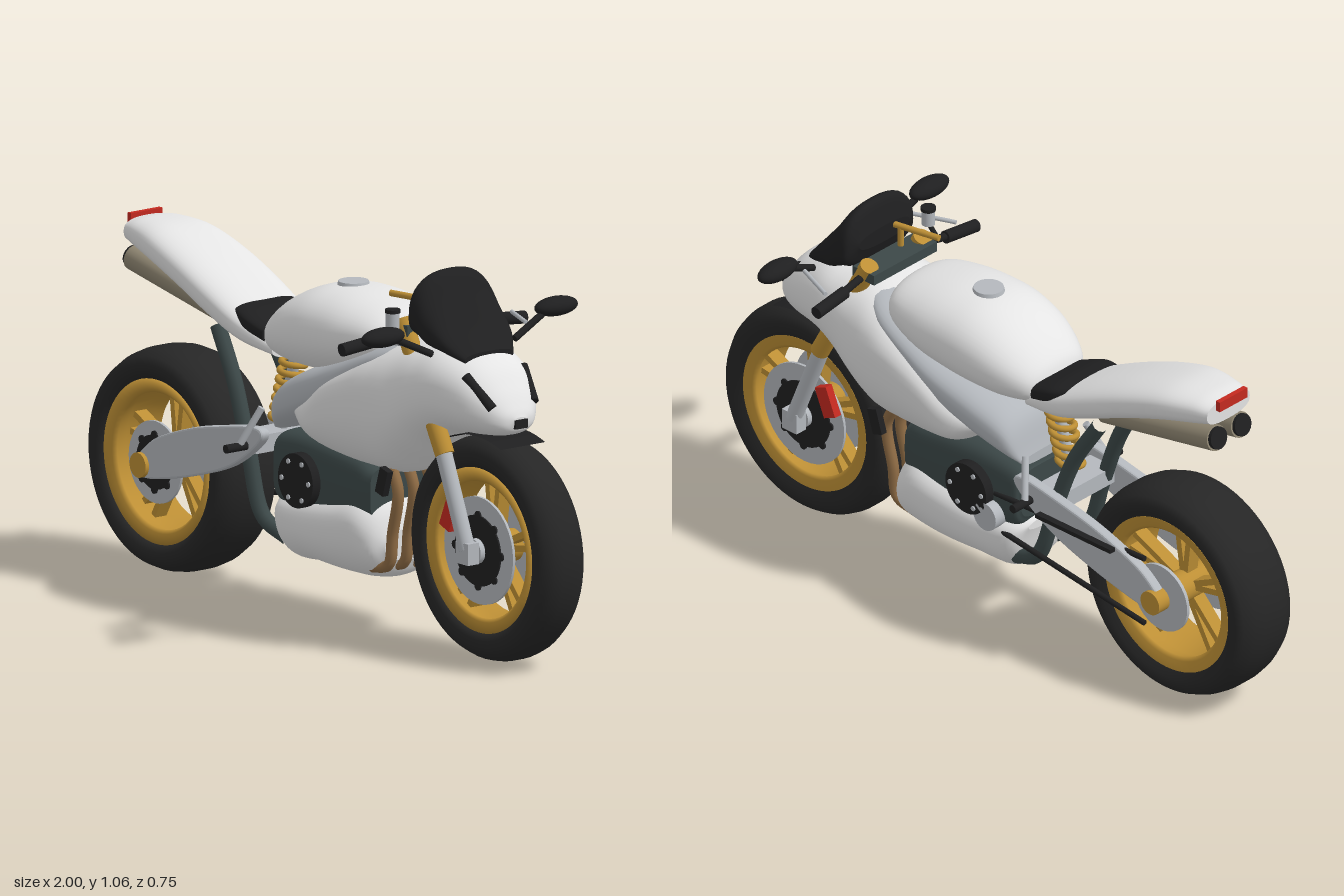
import * as THREE from 'three';

const mat = (name, color, side = THREE.FrontSide) => {
  const m = new THREE.MeshStandardMaterial({ color, side });
  m.name = name;
  return m;
};
const V = (x, y, z) => new THREE.Vector3(x, y, z);

export function createModel() {
  const root = new THREE.Group();
  root.name = 'motorcycle';
  const white = mat('white paint', 0xe4e4e4);
  const metal = mat('light metal', 0xb4b8bd);
  const black = mat('black', 0x1f1f20, THREE.DoubleSide);
  const rubber = mat('tyre rubber', 0x262626);
  const gold = mat('gold', 0xbd8f35);
  const slate = mat('dark slate', 0x3c4848);
  const red = mat('red', 0xc42a20);
  const tan = mat('exhaust tan', 0x8f8672);
  const copper = mat('header copper', 0x8f6c45);

  const add = (name, geo, m, x = 0, y = 0, z = 0, parent = root) => {
    const mesh = new THREE.Mesh(geo, m);
    mesh.name = name;
    mesh.position.set(x, y, z);
    parent.add(mesh);
    return mesh;
  };
  const box = (name, m, sx, sy, sz, x, y, z) => add(name, new THREE.BoxGeometry(sx, sy, sz), m, x, y, z);
  // Round bar between two points
  const rod = (name, m, a, b, r, r2 = r) => {
    const A = V(...a), B = V(...b), d = B.clone().sub(A);
    const mesh = add(name, new THREE.CylinderGeometry(r2, r, d.length(), 20), m);
    mesh.position.copy(A).addScaledVector(d, 0.5);
    mesh.quaternion.setFromUnitVectors(V(0, 1, 0), d.normalize());
    return mesh;
  };
  const tube = (name, m, pts, r, seg = 32) =>
    add(name, new THREE.TubeGeometry(new THREE.CatmullRomCurve3(pts.map(p => V(...p))), seg, r, 10), m);
  // Disc whose axis runs across the bike
  const disc = (name, m, r, t, x, y, z, parent) =>
    add(name, new THREE.CylinderGeometry(r, r, t, 36).rotateX(Math.PI / 2), m, x, y, z, parent);
  const both = fn => [1, -1].forEach(fn);

  // Body skin along x; rows are [x, bottom, top, halfWidth, height fraction of widest line]
  const loft = (name, m, rows, p = 0.9, n = 40) => {
    const c1 = new THREE.CatmullRomCurve3(rows.map(r => V(r[0], r[1], r[2])), false, 'catmullrom');
    const c2 = new THREE.CatmullRomCurve3(rows.map(r => V(r[3], r[4] ?? 0.5, 0)), false, 'catmullrom');
    const steps = (rows.length - 1) * 6, pos = [], idx = [];
    const pw = v => Math.sign(v) * Math.abs(v) ** p;
    const ring = t => {
      const a = c1.getPoint(t), b = c2.getPoint(t), mid = a.y + (a.z - a.y) * b.y;
      for (let j = 0; j < n; j++) {
        const q = j / n * Math.PI * 2, s = pw(Math.sin(q));
        pos.push(a.x, mid + s * (s > 0 ? a.z - mid : mid - a.y), b.x * pw(Math.cos(q)));
      }
      return [a.x, mid, 0];
    };
    for (let i = 0; i <= steps; i++) ring(i / steps);
    for (let i = 0; i < steps; i++) for (let j = 0; j < n; j++) {
      const k = (j + 1) % n, a = i * n + j, b = a + n, c = (i + 1) * n + k, d = i * n + k;
      idx.push(a, b, c, a, c, d);
    }
    for (const end of [0, 1]) {
      const s = pos.length / 3;
      pos.push(...ring(end));
      for (let j = 0; j < n; j++) {
        const k = (j + 1) % n;
        idx.push(s + n, s + (end ? k : j), s + (end ? j : k));
      }
    }
    const g = new THREE.BufferGeometry();
    g.setAttribute('position', new THREE.Float32BufferAttribute(pos, 3));
    g.setIndex(idx);
    g.computeVertexNormals();
    return add(name, g, m);
  };
  const lathe = (pts) =>
    new THREE.LatheGeometry(pts.map(p => new THREE.Vector2(...p)), 64).rotateX(Math.PI / 2);

  // Wheels: tyre, rim, paired spokes, hub
  const R = 0.313, RX = -0.687, FX = 0.687;
  const wheel = (name, x, w) => {
    const g = new THREE.Group();
    g.name = name;
    g.position.set(x, R, 0);
    root.add(g);
    const half = [[0.226, 0.82], [0.25, 0.97], [0.272, 1], [0.292, 0.88], [0.306, 0.58], [0.312, 0.25]];
    add('tyre', lathe([...half.map(([r, f]) => [r, -f * w]), ...half.reverse().map(([r, f]) => [r, f * w]), [0.226, -0.82 * w]]), rubber, 0, 0, 0, g);
    add('rim', lathe([[0.23, -0.85 * w], [0.23, 0.85 * w], [0.2, 0.8 * w], [0.19, 0.7 * w], [0.205, 0.3 * w],
      [0.205, -0.3 * w], [0.19, -0.7 * w], [0.2, -0.8 * w], [0.23, -0.85 * w]]), gold, 0, 0, 0, g);
    for (let i = 0; i < 5; i++) both(s => {
      const a = i / 5 * Math.PI * 2 + 0.3 + s * 0.13;
      add('spoke', new THREE.BoxGeometry(0.175, 0.018, 0.04), gold, Math.cos(a) * 0.118, Math.sin(a) * 0.118, 0, g).rotation.z = a;
    });
    disc('hub', gold, 0.045, w * 1.5, 0, 0, 0, g);
    return g;
  };
  // Brake disc: steel ring with a black carrier
  const brake = (g, r, z) => {
    const s = Math.sign(z);
    disc('brakeDisc', metal, r, 0.008, 0, 0, z, g);
    disc('discCarrier', black, r * 0.66, 0.008, 0, 0, z + s * 0.005, g);
    for (let i = 0; i < 8; i++) {
      const a = i * Math.PI / 4;
      disc('discButton', black, 0.012, 0.008, Math.cos(a) * r * 0.66, Math.sin(a) * r * 0.66, z + s * 0.005, g);
    }
    disc('discHub', metal, 0.035, 0.03, 0, 0, z + s * 0.01, g);
  };
  const rear = wheel('rearWheel', RX, 0.105), front = wheel('frontWheel', FX, 0.075);
  both(s => brake(front, 0.15, s * 0.062));
  brake(rear, 0.115, 0.09);
  disc('rearSprocket', metal, 0.1, 0.01, 0, 0, -0.108, rear);
  disc('axleNut', gold, 0.035, 0.31, 0, 0, 0, rear);
  add('frontFender', new THREE.CylinderGeometry(0.322, 0.322, 0.155, 20, 1, true, Math.PI - 0.35, 0.8).rotateX(Math.PI / 2), black, FX, R, 0);

  // Painted body and frame
  loft('fairing', white, [[-0.03, 0.57, 0.61, 0.14], [0.05, 0.5, 0.67, 0.178], [0.15, 0.47, 0.74, 0.198, 0.65], [0.28, 0.462, 0.81, 0.2, 0.65],
    [0.36, 0.468, 0.845, 0.193, 0.6], [0.43, 0.52, 0.865, 0.183], [0.5, 0.58, 0.87, 0.172], [0.58, 0.62, 0.87, 0.158], [0.68, 0.63, 0.83, 0.13],
    [0.74, 0.637, 0.77, 0.092], [0.775, 0.65, 0.72, 0.055], [0.788, 0.675, 0.695, 0.02]], 0.85);
  loft('frame', metal, [[-0.16, 0.5, 0.53, 0.1], [-0.12, 0.515, 0.64, 0.14], [-0.02, 0.55, 0.7, 0.162], [0.1, 0.6, 0.745, 0.175],
    [0.2, 0.65, 0.785, 0.175], [0.33, 0.72, 0.835, 0.155], [0.42, 0.78, 0.855, 0.1]], 0.75);
  loft('tank', white, [[-0.212, 0.74, 0.775, 0.05], [-0.185, 0.705, 0.825, 0.115], [-0.1, 0.69, 0.89, 0.158], [0, 0.69, 0.93, 0.175],
    [0.1, 0.7, 0.938, 0.177], [0.2, 0.72, 0.93, 0.17], [0.3, 0.765, 0.908, 0.14], [0.34, 0.82, 0.87, 0.07]]);
  add('fillerCap', new THREE.CylinderGeometry(0.042, 0.045, 0.012, 32), metal, 0.06, 0.938, 0);
  loft('tail', white, [[-0.835, 0.895, 0.965, 0.085], [-0.78, 0.88, 0.972, 0.1], [-0.68, 0.855, 0.965, 0.122], [-0.55, 0.81, 0.925, 0.133],
    [-0.42, 0.755, 0.87, 0.135], [-0.3, 0.712, 0.81, 0.128], [-0.17, 0.693, 0.745, 0.1]], 0.75);
  loft('seat', black, [[-0.325, 0.77, 0.822, 0.108], [-0.27, 0.75, 0.812, 0.12], [-0.2, 0.73, 0.785, 0.11]], 0.6);
  box('tailLight', red, 0.015, 0.03, 0.11, -0.847, 0.96, 0);
  loft('bellyPan', white, [[-0.165, 0.29, 0.32, 0.08], [-0.12, 0.155, 0.34, 0.128, 0.65], [0, 0.15, 0.36, 0.15, 0.6], [0.12, 0.145, 0.38, 0.156, 0.6],
    [0.22, 0.148, 0.395, 0.15, 0.6], [0.28, 0.165, 0.365, 0.13], [0.31, 0.21, 0.3, 0.09]], 0.9);
  loft('windscreen', black, [[0.448, 0.93, 0.98, 0.1], [0.468, 0.88, 1.05, 0.135, 0.3], [0.5, 0.865, 1.047, 0.138, 0.3], [0.54, 0.85, 0.99, 0.136, 0.3],
    [0.6, 0.835, 0.912, 0.12], [0.65, 0.82, 0.855, 0.085]], 0.8);
  box('noseIntake', black, 0.02, 0.025, 0.042, 0.783, 0.676, 0);

  // Engine, covers and header pipes
  loft('engine', slate, [[-0.155, 0.33, 0.48, 0.1], [-0.13, 0.3, 0.505, 0.12], [0, 0.28, 0.52, 0.128], [0.2, 0.28, 0.5, 0.125], [0.27, 0.32, 0.47, 0.11]], 0.45);
  both(s => {
    disc('engineCover', black, 0.076, 0.03, 0, 0.395, s * 0.14);
    for (let i = 0; i < 6; i++) {
      const a = i * Math.PI / 3;
      disc('coverBolt', metal, 0.007, 0.006, Math.cos(a) * 0.058, 0.395 + Math.sin(a) * 0.058, s * 0.156);
    }
    box('sideDuct', black, 0.035, 0.075, 0.02, 0.355, 0.455, s * 0.13).rotation.z = -0.3;
    [0.03, 0.085].forEach(z => tube('headerPipe', copper,
      [[0.33, 0.49, s * z], [0.36, 0.42, s * z], [0.337, 0.3, s * z], [0.32, 0.21, s * z], [0.25, 0.19, s * z]], 0.016));
  });
  disc('sprocketCover', metal, 0.042, 0.05, -0.07, 0.335, -0.13);

  // Chain and guard
  rod('chainUpper', black, [RX + 0.05, 0.42, -0.122], [-0.08, 0.4, -0.122], 0.008);
  rod('chainLower', black, [RX + 0.05, 0.216, -0.122], [-0.08, 0.292, -0.122], 0.008);
  box('chainGuard', black, 0.28, 0.012, 0.02, -0.41, 0.425, -0.157);

  // Swingarm, subframe, shock, foot pegs, silencers
  const arm = new THREE.Shape();
  arm.moveTo(-0.7, 0.335);
  arm.splineThru([[-0.63, 0.39], [-0.5, 0.44], [-0.38, 0.47], [-0.2, 0.5], [-0.18, 0.47], [-0.3, 0.385],
    [-0.47, 0.325], [-0.65, 0.285], [-0.7, 0.295], [-0.7, 0.335]].map(p => new THREE.Vector2(...p)));
  const armGeo = new THREE.ExtrudeGeometry(arm, { depth: 0.02, bevelSize: 0.006, bevelThickness: 0.006, bevelSegments: 2, curveSegments: 40 });
  both(s => {
    add('swingarm', armGeo, metal, 0, 0, s * 0.127 - 0.01);
    tube('subframe', slate, [[-0.43, 0.74, s * 0.08], [-0.345, 0.6, s * 0.09], [-0.28, 0.43, s * 0.095], [-0.215, 0.25, s * 0.095], [-0.12, 0.2, s * 0.08]], 0.022);
    rod('footPeg', black, [-0.23, 0.45, s * 0.14], [-0.23, 0.45, s * 0.214], 0.012);
    rod('pegBracket', metal, [-0.23, 0.455, s * 0.165], [-0.19, 0.56, s * 0.12], 0.01);
    rod('silencer', tan, [-0.835, 0.853, s * 0.048], [-0.42, 0.765, s * 0.048], 0.037, 0.03);
    rod('silencerTip', black, [-0.845, 0.856, s * 0.048], [-0.828, 0.852, s * 0.048], 0.032);
  });
  box('swingarmBrace', metal, 0.09, 0.05, 0.24, -0.26, 0.45, 0);
  rod('shockBody', metal, [-0.25, 0.48, 0], [-0.19, 0.7, 0], 0.016);
  const coil = [];
  for (let i = 0; i <= 84; i++) {
    const t = i / 84, a = t * Math.PI * 14;
    coil.push([-0.25 + 0.055 * t + Math.cos(a) * 0.034, 0.5 + 0.19 * t, Math.sin(a) * 0.034]);
  }
  tube('shockSpring', gold, coil, 0.009, 200);

  // Fork, calipers, handlebars, mirrors, lamp slits
  both(s => {
    const z = s * 0.106;
    rod('forkUpper', gold, [0.59, 0.57, z], [0.405, 0.915, z], 0.027);
    rod('forkLower', metal, [FX, 0.32, z], [0.57, 0.61, z], 0.023);
    box('axleClamp', metal, 0.055, 0.06, 0.038, FX, 0.313, z);
    box('caliper', red, 0.045, 0.09, 0.024, 0.585, 0.4, s * 0.08).rotation.z = -0.4;
    rod('handlebar', black, [0.42, 0.885, s * 0.1], [0.41, 0.868, s * 0.22], 0.011);
    rod('grip', black, [0.41, 0.87, s * 0.2], [0.405, 0.858, s * 0.318], 0.018);
    rod('lever', metal, [0.425, 0.885, s * 0.26], [0.55, 0.885, s * 0.21], 0.006);
    rod('mirrorStalk', black, [0.58, 0.855, s * 0.145], [0.567, 0.905, s * 0.25], 0.01);
    add('mirror', new THREE.SphereGeometry(1, 28, 18), black, 0.565, 0.921, s * 0.302).scale.set(0.035, 0.027, 0.071);
    rod('lampSlit', black, [0.672, 0.803, s * 0.1], [0.755, 0.722, s * 0.072], 0.014);
  });
  box('topYoke', slate, 0.08, 0.03, 0.25, 0.41, 0.89, 0);
  rod('steeringDamper', gold, [0.31, 0.965, 0.07], [0.455, 0.965, 0.04], 0.009);
  rod('damperPost', gold, [0.43, 0.89, 0.045], [0.43, 0.965, 0.045], 0.009);
  add('fluidReservoir', new THREE.CylinderGeometry(0.019, 0.019, 0.045, 20), metal, 0.45, 0.93, 0.176);
  add('reservoirCap', new THREE.CylinderGeometry(0.021, 0.021, 0.01, 20), black, 0.45, 0.956, 0.176);
  rod('reservoirStem', black, [0.45, 0.91, 0.176], [0.415, 0.875, 0.176], 0.007);
  return root;
}
